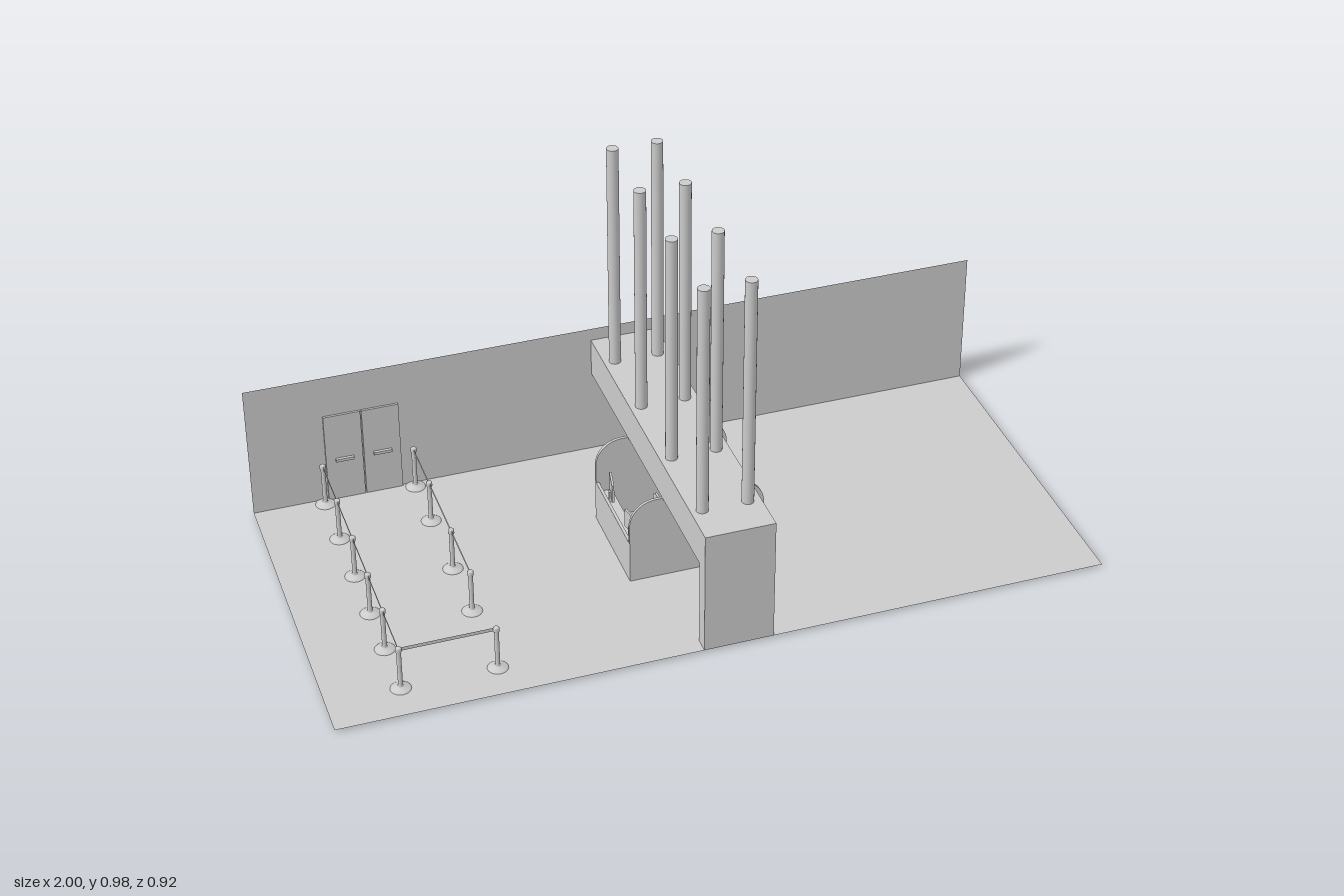
import * as THREE from 'three';

const grey = new THREE.MeshStandardMaterial({ color: 0xcccccc });
const thin = new THREE.MeshStandardMaterial({ color: 0xcccccc, side: THREE.DoubleSide });
const FLOOR = 0.006, BACK = -0.455;

function add(parent, name, geometry, material = grey) {
  const mesh = new THREE.Mesh(geometry, material);
  mesh.name = name;
  parent.add(mesh);
  return mesh;
}

// Box given by its minimum and maximum on each axis
function box(parent, name, x0, x1, y0, y1, z0, z1) {
  const mesh = add(parent, name, new THREE.BoxGeometry(x1 - x0, y1 - y0, z1 - z0));
  mesh.position.set((x0 + x1) / 2, (y0 + y1) / 2, (z0 + z1) / 2);
  return mesh;
}

function group(parent, name) {
  const g = new THREE.Group();
  g.name = name;
  parent.add(g);
  return g;
}

// Upright panel with rounded upper corners, extruded along z
function archPanel(x0, x1, y0, y1, r, depth) {
  const s = new THREE.Shape();
  s.moveTo(x0, y0);
  s.lineTo(x1, y0);
  s.lineTo(x1, y1 - r);
  s.absarc(x1 - r, y1 - r, r, 0, Math.PI / 2);
  s.absarc(x0 + r, y1 - r, r, Math.PI / 2, Math.PI);
  s.closePath();
  return new THREE.ExtrudeGeometry(s, { depth, bevelEnabled: false, curveSegments: 10 });
}

export function createModel() {
  const model = new THREE.Group();
  model.name = 'entranceHall';

  // Floor and back wall
  const floor = add(model, 'floor', new THREE.PlaneGeometry(2, 0.91), thin);
  floor.rotation.x = -Math.PI / 2;
  floor.position.y = FLOOR;
  const wall = add(model, 'backWall', new THREE.PlaneGeometry(2, 0.385 - FLOOR), thin);
  wall.position.set(0, (0.385 + FLOOR) / 2, BACK);

  // Overhead beam on one front leg, reaching back to the wall
  const gantry = group(model, 'gantry');
  box(gantry, 'beam', -0.073, 0.108, 0.245, 0.35, BACK, 0.455);
  box(gantry, 'beamLeg', -0.073, 0.108, FLOOR, 0.245, 0.415, 0.455);

  // Two rows of slim columns on the beam
  for (const x of [-0.043, 0.074]) {
    for (const z of [0.347, 0.116, -0.123, -0.341]) {
      const column = add(gantry, 'column', new THREE.CylinderGeometry(0.0155, 0.0155, 0.633, 20));
      column.position.set(x, 0.6665, z);
    }
  }

  // Booth: arched end panels, low side walls and a narrow worktop
  const booth = group(model, 'booth');
  for (const z of [0.127, -0.152]) {
    add(booth, 'archedPanel', archPanel(-0.16, 0.197, FLOOR, 0.245, 0.07, 0.008)).position.z = z;
  }
  box(booth, 'sideWall', 0.19, 0.197, FLOOR, 0.122, -0.144, 0.127);
  box(booth, 'sideWall', -0.16, -0.152, FLOOR, 0.122, -0.144, 0.127);
  box(booth, 'worktop', -0.152, -0.118, 0.085, 0.092, -0.144, 0.127);

  // Two angled screens with stands
  for (const [z, turn] of [[0.068, 0.2], [-0.096, -0.2]]) {
    const screen = group(booth, 'screen');
    screen.position.set(-0.133, 0.092, z);
    screen.rotation.y = turn;
    box(screen, 'screenPanel', -0.003, 0.003, 0.016, 0.068, -0.031, 0.031);
    box(screen, 'screenStand', -0.008, 0.004, 0, 0.03, -0.006, 0.006);
  }

  // Chair with a rounded back
  const chair = group(booth, 'chair');
  chair.position.set(-0.065, FLOOR, -0.006);
  box(chair, 'chairSeat', -0.025, 0.025, 0.055, 0.064, -0.026, 0.026);
  const chairBack = add(chair, 'chairBack', archPanel(-0.026, 0.026, 0.085, 0.145, 0.0259, 0.006));
  chairBack.rotation.y = Math.PI / 2;
  chairBack.position.x = 0.022;
  box(chair, 'chairSpine', 0.022, 0.026, 0.055, 0.1, -0.005, 0.005);
  const stem = add(chair, 'chairStem', new THREE.CylinderGeometry(0.005, 0.005, 0.055, 10));
  stem.position.y = 0.0275;
  const foot = add(chair, 'chairFoot', new THREE.CylinderGeometry(0.006, 0.024, 0.008, 16));
  foot.position.y = 0.004;

  // Double door with push bars
  const door = group(model, 'doubleDoor');
  for (const [x0, x1] of [[-0.8, -0.7015], [-0.6985, -0.6]]) {
    box(door, 'doorLeaf', x0, x1, FLOOR, 0.267, BACK - 0.0005, BACK + 0.006);
    box(door, 'pushBar', x0 + 0.025, x1 - 0.025, 0.126, 0.134, BACK + 0.006, BACK + 0.014);
  }

  // Queue barrier: turned posts joined by upright ribbons
  const barrier = group(model, 'queueBarrier');
  const profile = [[0, 0], [0.028, 0], [0.028, 0.005], [0.022, 0.009], [0.009, 0.013], [0.006, 0.016],
    [0.006, 0.118], [0.008, 0.119], [0.008, 0.129], [0.006, 0.131], [0, 0.131]]
    .map(([r, y]) => new THREE.Vector2(r, y));
  const postGeometry = new THREE.LatheGeometry(profile, 20);
  const ribbon = (x0, z0, x1, z1) => {
    const length = Math.hypot(x1 - x0, z1 - z0);
    const mesh = add(barrier, 'ribbon', new THREE.PlaneGeometry(length, 0.01), thin);
    mesh.position.set((x0 + x1) / 2, 0.125, (z0 + z1) / 2);
    mesh.rotation.y = Math.atan2(z0 - z1, x1 - x0);
  };
  const outer = [-0.435, -0.275, -0.11, 0.05, 0.198, 0.355];
  const inner = [-0.435, -0.275, -0.06, 0.122, 0.355];
  for (const [x, row] of [[-0.813, outer], [-0.57, inner]]) {
    for (const z of row) add(barrier, 'barrierPost', postGeometry).position.set(x, 0, z);
  }
  ribbon(-0.813, -0.435, -0.813, 0.355);
  ribbon(-0.57, -0.435, -0.57, 0.122);
  ribbon(-0.813, 0.355, -0.57, 0.355);

  return model;
}
